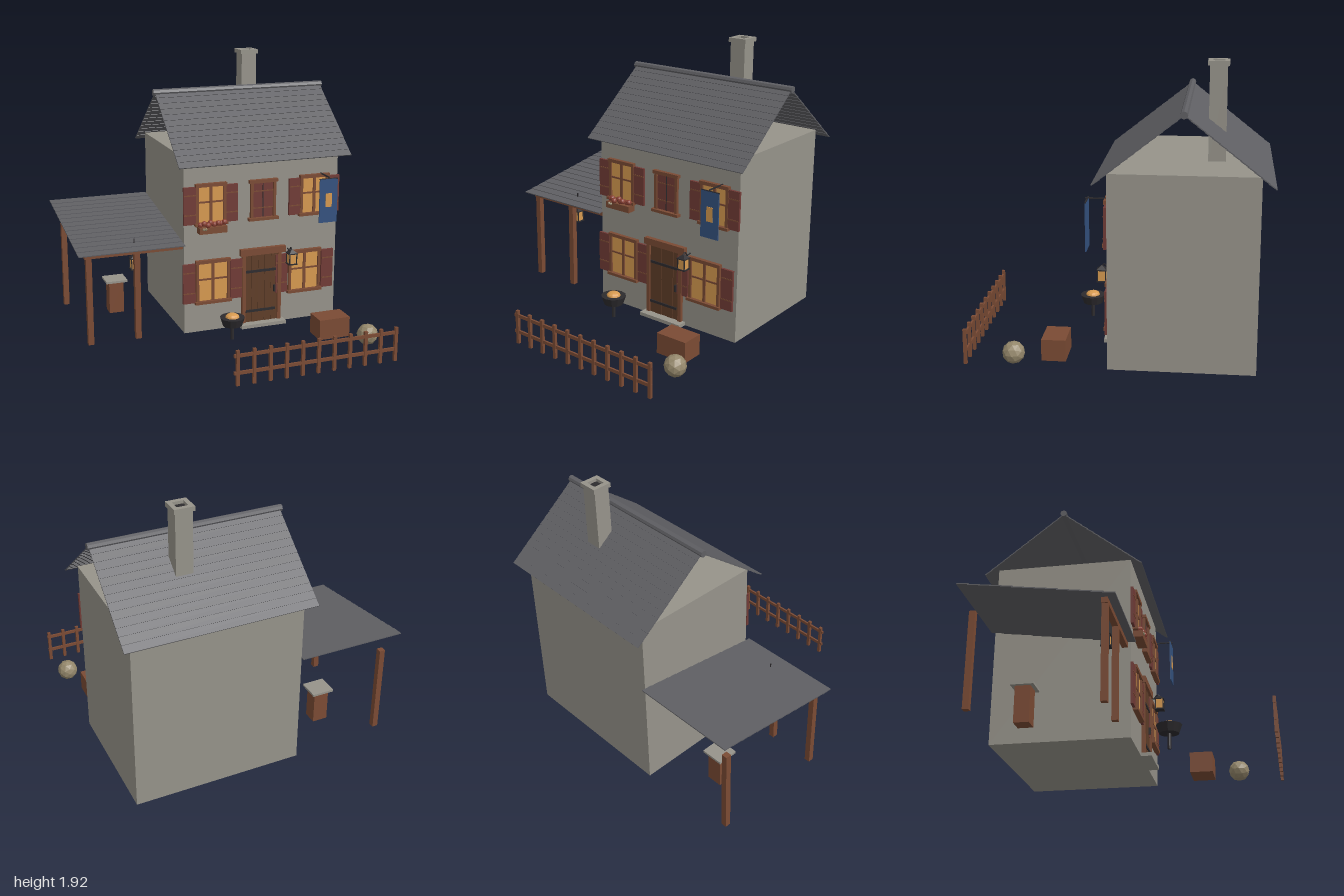
import * as THREE from 'three';

const mat = (name, color) => Object.assign(new THREE.MeshStandardMaterial({ color }), { name });
const M = {
  stone: mat('stone', 0x96938a), roof: mat('slate', 0x5f5f63), wood: mat('timber', 0x7b4b34),
  door: mat('dark timber', 0x5f3d28), shutter: mat('shutter red', 0x713b36), glow: mat('warm glow', 0xd79a50),
  cloth: mat('blue cloth', 0x34527f), straw: mat('straw', 0x94876b), iron: mat('iron', 0x2d2b2e),
  flower: mat('flower', 0x8a4034),
};
const WALL = 0.05; // z of the front wall

export function createModel() {
  const root = new THREE.Group();

  const add = (name, geo, m, x, y, z, parent = root) => {
    const mesh = new THREE.Mesh(geo, m);
    mesh.name = name;
    mesh.position.set(x, y, z);
    parent.add(mesh);
    return mesh;
  };
  // box given by its limits
  const box = (name, m, x0, x1, y0, y1, z0, z1, parent = root) =>
    add(name, new THREE.BoxGeometry(x1 - x0, y1 - y0, z1 - z0), m,
      (x0 + x1) / 2, (y0 + y1) / 2, (z0 + z1) / 2, parent);
  const group = (name, x = 0, y = 0, z = 0) => {
    const g = new THREE.Group();
    g.name = name;
    g.position.set(x, y, z);
    root.add(g);
    return g;
  };
  const flat = (geo) => {
    const g = geo.index ? geo.toNonIndexed() : geo;
    g.computeVertexNormals();
    return g;
  };

  // roof slope made of overlapping courses, running down toward +z
  const slope = (name, x0, x1, yTop, zTop, drop, run, n) => {
    const g = group(name, (x0 + x1) / 2, yTop, zTop);
    const pitch = Math.hypot(drop, run) / n;
    for (let i = 0; i < n; i++) {
      const t = (i + 0.5) / n;
      const c = add('course', new THREE.BoxGeometry(x1 - x0, 0.007, pitch * 1.12), M.roof, 0, -drop * t, run * t, g);
      c.rotation.x = Math.atan2(drop, run) - 0.06;
    }
    return g;
  };

  // house
  box('walls', M.stone, -0.25, 0.92, 0, 1.28, -0.89, WALL);
  slope('frontRoof', -0.305, 0.985, 1.66, -0.42, 0.435, 0.55, 13);
  slope('backRoof', -0.305, 0.985, 1.66, -0.42, 0.435, 0.55, 13).rotation.y = Math.PI;
  add('ridge', flat(new THREE.CylinderGeometry(0.024, 0.024, 1.315, 8)), M.roof, 0.338, 1.66, -0.42).rotation.z = Math.PI / 2;

  // chimney with an open cap
  box('chimney', M.stone, 0.41, 0.525, 1.27, 1.895, -0.667, -0.555);
  const cap = new THREE.Shape();
  cap.moveTo(-0.068, -0.068).lineTo(0.068, -0.068).lineTo(0.068, 0.068).lineTo(-0.068, 0.068);
  const hole = new THREE.Path();
  hole.moveTo(-0.037, -0.037).lineTo(-0.037, 0.037).lineTo(0.037, 0.037).lineTo(0.037, -0.037);
  cap.holes.push(hole);
  add('chimneyCap', new THREE.ExtrudeGeometry(cap, { depth: 0.03, bevelEnabled: false }), M.stone,
    0.468, 1.89, -0.611).rotation.x = -Math.PI / 2;
  box('flue', M.iron, 0.43, 0.506, 1.893, 1.9, -0.649, -0.573);

  // window: panes, frame, crossbars, lintel and sill
  const windowAt = (name, cx, y0, y1, w, glazed, shutterGap) => {
    const g = group(name, cx, 0, WALL);
    const h = w / 2;
    box('panes', glazed ? M.glow : M.shutter, -h, h, y0, y1, 0, 0.009, g);
    for (const s of [-1, 1]) {
      const x = s * (h + 0.001);
      box('jamb', M.wood, x - 0.01, x + 0.01, y0, y1, 0, 0.022, g);
    }
    const over = glazed ? 0.015 : 0.022;
    box('lintel', M.wood, -h - over, h + over, y1 - 0.004, y1 + 0.02, 0, 0.028, g);
    box('sill', M.wood, -h - over - 0.006, h + over + 0.006, y0 - 0.015, y0 + 0.005, 0, 0.036, g);
    if (!glazed) {
      box('shutterSeam', M.iron, -0.003, 0.003, y0, y1, 0, 0.012, g);
      for (const t of [0.28, 0.75]) {
        const y = y0 + (y1 - y0) * t;
        box('batten', M.wood, -h, h, y - 0.004, y + 0.004, 0, 0.012, g);
      }
      return;
    }
    const my = y0 + (y1 - y0) * 0.57;
    box('mullion', M.wood, -0.01, 0.01, y0, y1, 0, 0.018, g);
    box('transom', M.wood, -h, h, my - 0.006, my + 0.006, 0, 0.016, g);
    // open shutters
    for (const s of [-1, 1]) {
      const sx = s * shutterGap;
      box('shutter', M.shutter, sx - 0.046, sx + 0.046, y0 - 0.003, y1, 0, 0.018, g);
      for (const t of [0.25, 0.78]) {
        const y = y0 + (y1 - y0) * t;
        box('batten', M.wood, sx - 0.044, sx + 0.044, y - 0.004, y + 0.004, 0.017, 0.021, g);
      }
    }
  };
  windowAt('lowerRightWindow', -0.04, 0.228, 0.515, 0.23, true, 0.177);
  windowAt('lowerLeftWindow', 0.668, 0.228, 0.515, 0.23, true, 0.182);
  windowAt('upperRightWindow', -0.055, 0.805, 1.07, 0.2, true, 0.154);
  windowAt('upperMiddleWindow', 0.337, 0.805, 1.065, 0.17, false);
  windowAt('upperLeftWindow', 0.733, 0.805, 1.07, 0.2, true, 0.15);

  // flower box
  box('flowerBox', M.wood, -0.155, 0.05, 0.74, 0.786, WALL, 0.115);
  for (let i = 0; i < 8; i++) {
    add('flower', flat(new THREE.IcosahedronGeometry(0.02, 1)), M.flower,
      -0.14 + i * 0.025, 0.8 + (i % 2) * 0.01, 0.08 + (i % 3) * 0.012);
  }
  for (const x of [-0.125, -0.11]) add('leaf', new THREE.IcosahedronGeometry(0.012), M.straw, x, 0.775, 0.114);

  // door
  for (let i = 0; i < 5; i++) {
    const x = 0.205 + i * 0.05;
    box('doorPlank', M.door, x + 0.001, x + 0.049, 0.025, 0.535, WALL, 0.062 + (i % 2) * 0.003);
  }
  box('doorPost', M.wood, 0.18, 0.207, 0.02, 0.54, WALL, 0.075);
  box('doorPost', M.wood, 0.455, 0.482, 0.02, 0.54, WALL, 0.075);
  box('doorLintel', M.wood, 0.165, 0.51, 0.535, 0.583, WALL, 0.083);
  for (const y of [0.11, 0.41]) box('doorStrap', M.iron, 0.21, 0.44, y - 0.009, y + 0.009, 0.06, 0.07);
  box('doorHandle', M.iron, 0.425, 0.437, 0.24, 0.29, 0.06, 0.078);
  box('doorstep', M.stone, 0.16, 0.505, 0, 0.025, WALL, 0.122);

  // lantern, y measured from the bottom of its body
  const lantern = (name, x, y, z) => {
    const g = group(name, x, y, z);
    box('lanternGlow', M.glow, -0.025, 0.025, 0.006, 0.08, -0.025, 0.025, g);
    box('lanternBase', M.iron, -0.033, 0.033, 0, 0.008, -0.033, 0.033, g);
    box('lanternRim', M.iron, -0.033, 0.033, 0.078, 0.085, -0.033, 0.033, g);
    for (const sx of [-1, 1]) for (const sz of [-1, 1])
      add('lanternBar', new THREE.BoxGeometry(0.006, 0.08, 0.006), M.iron, sx * 0.027, 0.042, sz * 0.027, g);
    add('lanternCap', flat(new THREE.ConeGeometry(0.046, 0.028, 4)), M.iron, 0, 0.098, 0, g).rotation.y = Math.PI / 4;
    return g;
  };
  lantern('wallLantern', 0.538, 0.455, 0.127);
  const arm = new THREE.CatmullRomCurve3([[0.55, 0.05], [0.545, 0.085], [0.575, 0.11], [0.562, 0.127]]
    .map(([y, z]) => new THREE.Vector3(0.538, y, z)));
  add('lanternArm', new THREE.TubeGeometry(arm, 10, 0.005, 5), M.iron, 0, 0, 0);

  // hanging banner
  box('bannerPole', M.iron, 0.781, 0.789, 1.086, 1.094, WALL, 0.198);
  box('bannerBar', M.iron, 0.715, 0.855, 1.074, 1.082, 0.184, 0.192);
  box('banner', M.cloth, 0.716, 0.854, 0.76, 1.078, 0.184, 0.192);
  box('bannerEmblem', M.glow, 0.762, 0.81, 0.874, 0.974, 0.19, 0.195);

  // lean-to
  slope('leanToRoof', -1, -0.25, 0.805, -0.91, 0.145, 0.99, 14);
  box('leanToBeam', M.wood, -0.95, -0.25, 0.623, 0.66, -0.01, 0.03);
  for (const [x, z] of [[-0.92, 0.01], [-0.58, 0.01], [-0.92, -0.82]])
    box('leanToPost', M.wood, x - 0.02, x + 0.02, 0, 0.64, z - 0.02, z + 0.02);
  lantern('leanToLantern', -0.58, 0.49, -0.05);
  box('lanternHook', M.iron, -0.583, -0.577, 0.59, 0.71, -0.053, -0.047);
  box('workbench', M.wood, -0.655, -0.545, 0, 0.242, -0.61, -0.51);
  box('workbenchTop', M.stone, -0.68, -0.52, 0.24, 0.256, -0.635, -0.485);

  // brazier
  const brazier = group('brazier', 0.033, 0, 0.26);
  add('brazierLeg', flat(new THREE.CylinderGeometry(0.013, 0.013, 0.11, 8)), M.iron, 0, 0.055, 0, brazier);
  add('brazierBowl', flat(new THREE.CylinderGeometry(0.088, 0.068, 0.06, 12)), M.iron, 0, 0.135, 0, brazier);
  add('embers', flat(new THREE.SphereGeometry(0.05, 12, 8)), M.glow, 0, 0.165, 0, brazier).scale.y = 0.55;

  // yard props
  box('crate', M.wood, 0.6, 0.83, 0, 0.145, 0.33, 0.49);
  add('hayBall', flat(new THREE.IcosahedronGeometry(0.074, 1)), M.straw, 0.88, 0.074, 0.66);

  // fence
  for (let i = 0; i < 11; i++) {
    const x = -0.2 + i * 0.1122;
    box('fencePost', M.wood, x - 0.011, x + 0.011, 0, 0.238, 0.956, 0.977);
  }
  for (const y of [0.085, 0.202]) box('fenceRail', M.wood, -0.225, 0.936, y - 0.011, y + 0.011, 0.96, 0.973);

  return root;
}
